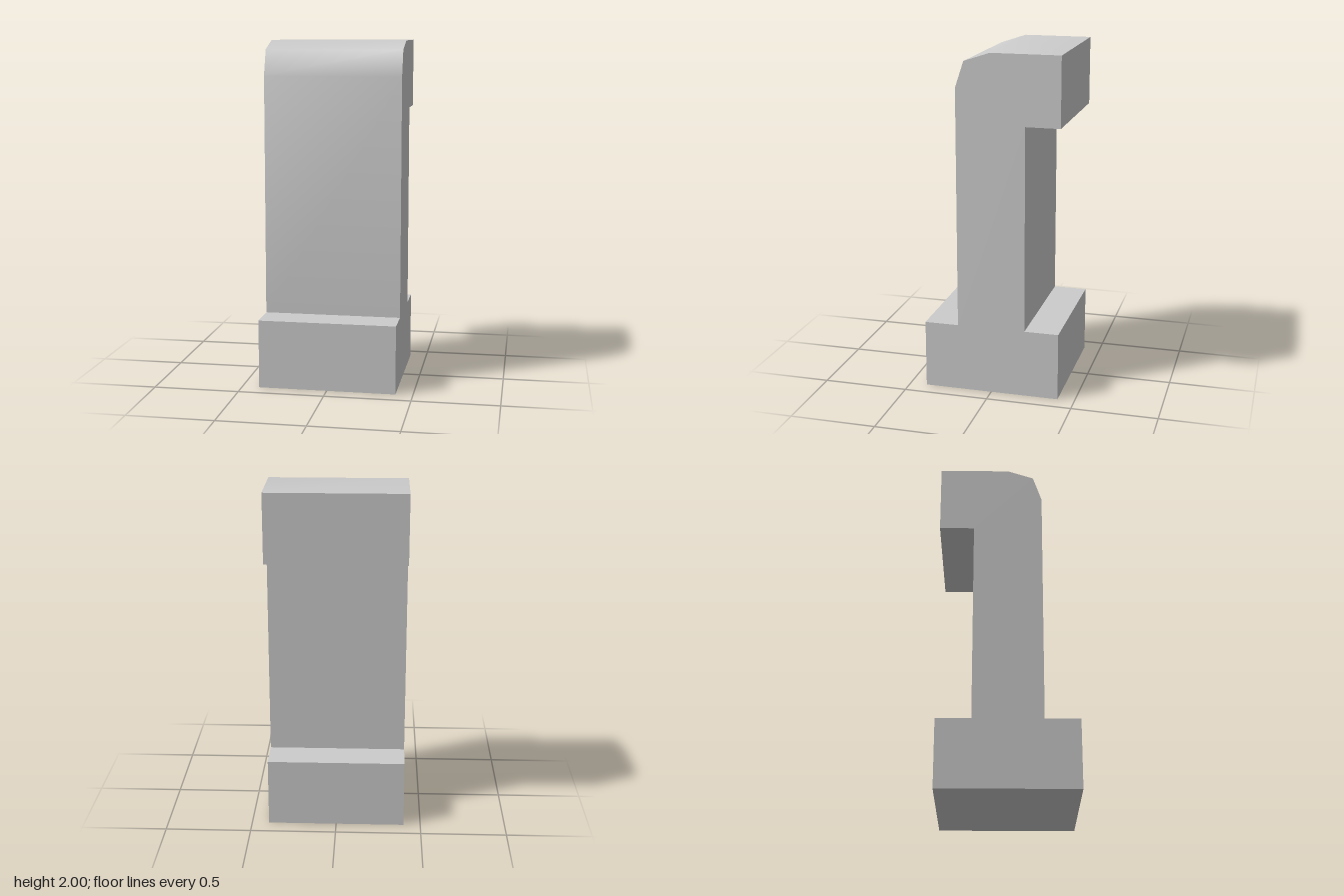
import * as THREE from 'three';
import { toCreasedNormals } from 'three/addons/utils/BufferGeometryUtils.js';

const WIDTH = 0.8;

// Side outline as [z, y]: wide foot, upright, rounded shoulder and a head overhanging the back
const OUTLINE = [
  [-0.4, 0], [0.4, 0], [0.4, 0.4], [0.2, 0.4],
  [0.2, 1.8], [0.15, 1.95], [0, 2],
  [-0.4, 2], [-0.4, 1.6], [-0.2, 1.6], [-0.2, 0.4], [-0.4, 0.4],
];

export function createModel() {
  const group = new THREE.Group();
  group.name = 'hookedPost';

  const shape = new THREE.Shape(OUTLINE.map(([z, y]) => new THREE.Vector2(z, y)));
  const extruded = new THREE.ExtrudeGeometry(shape, { depth: WIDTH, bevelEnabled: false });
  extruded.translate(0, 0, -WIDTH / 2);
  extruded.rotateY(-Math.PI / 2); // outline into the z-y plane, facing +z

  // Shoulder shades smoothly, right angles stay sharp
  const geometry = toCreasedNormals(extruded, THREE.MathUtils.degToRad(60));
  const post = new THREE.Mesh(geometry, new THREE.MeshStandardMaterial({ color: 0xcccccc }));
  post.name = 'postWithFootAndHead';
  group.add(post);

  return group;
}
